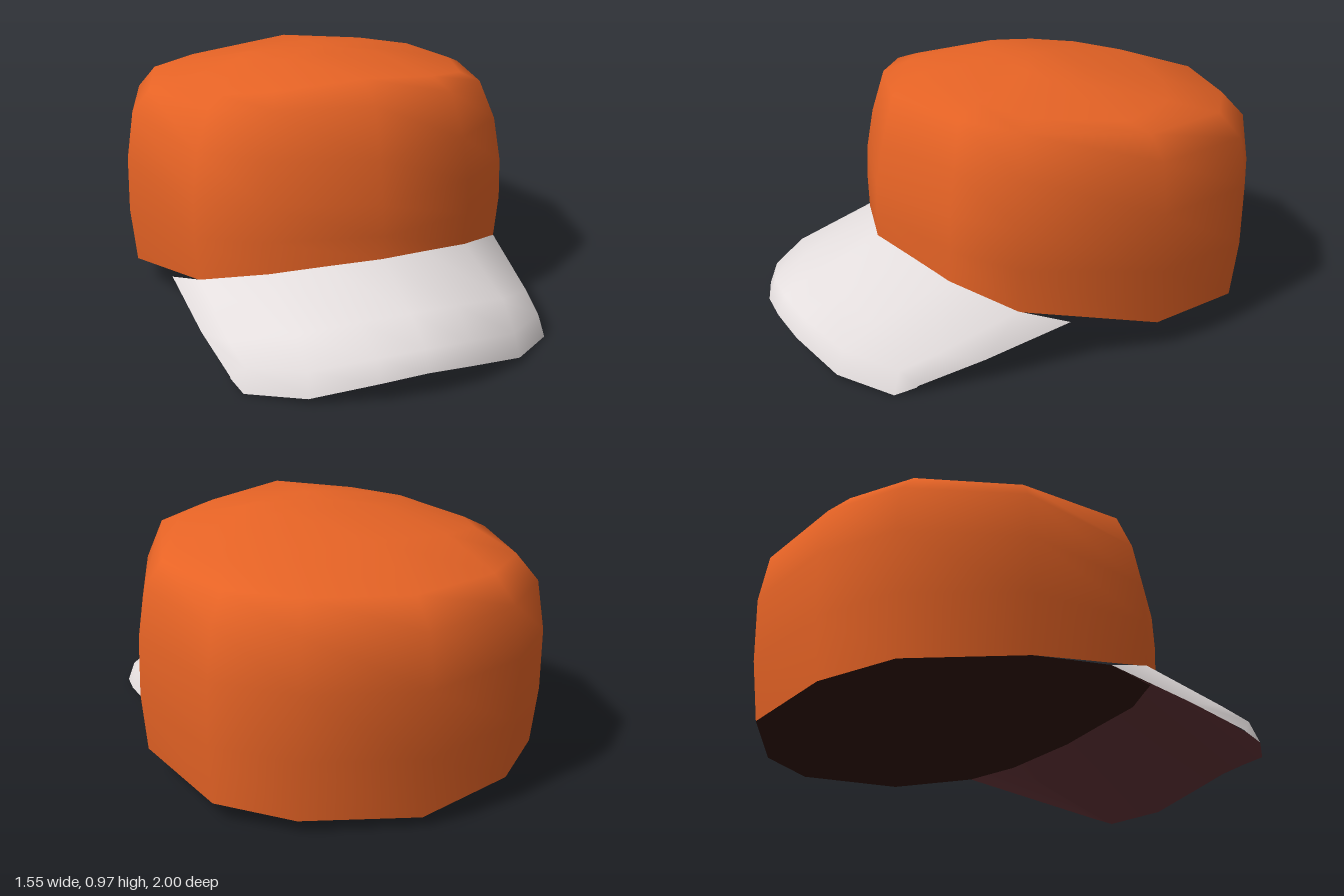
import * as THREE from 'three';
import { mergeVertices } from 'three/addons/utils/BufferGeometryUtils.js';

const material = (name, color) => {
  const m = new THREE.MeshStandardMaterial({ color });
  m.name = name;
  return m;
};

// Skin over rows of points; rows run left to right and stack upwards.
function loft(name, rows, mat, closed = false, flip = false) {
  const n = rows[0].length, index = [];
  for (let i = 0; i < rows.length - 1; i++) {
    for (let j = 0; j < (closed ? n : n - 1); j++) {
      const k = (j + 1) % n;
      const a = i * n + j, b = i * n + k, c = a + n, d = b + n;
      index.push(...(flip ? [a, c, b, b, c, d] : [a, b, c, b, d, c]));
    }
  }
  let geo = new THREE.BufferGeometry();
  geo.setAttribute('position', new THREE.Float32BufferAttribute(rows.flat(2), 3));
  geo.setIndex(index);
  geo = mergeVertices(geo);
  geo.computeVertexNormals();
  const mesh = new THREE.Mesh(geo, mat);
  mesh.name = name;
  return mesh;
}

// Unit outline of the crown: [x, z], front to back on the left side.
const half = [[0, 1], [0.52, 0.85], [0.81, 0.64], [1, 0], [0.855, -0.57], [0.545, -0.835], [0, -1]];
const outline = [...half, ...half.slice(1, -1).reverse().map(([x, z]) => [-x, z])];

// Crown levels: [frontZ, frontY, sideX, sideZ, sideY, backZ, backY]
const levels = [
  [0.585, 0.33, 0.755, -0.21, 0.11, -0.96, 0.04],
  [0.585, 0.42, 0.775, -0.21, 0.33, -0.99, 0.27],
  [0.58, 0.54, 0.77, -0.21, 0.55, -1.0, 0.52],
  [0.55, 0.70, 0.74, -0.21, 0.74, -0.97, 0.71],
  [0.50, 0.885, 0.67, -0.2, 0.825, -0.87, 0.81],
  [0.38, 0.955, 0.6, -0.15, 0.86, -0.56, 0.915],
  [0.05, 0.975, 0.34, -0.09, 0.945, -0.23, 0.965],
  [-0.09, 0.973, 0, -0.09, 0.973, -0.09, 0.973],
];

const crownRows = levels.map(([fz, fy, sx, sz, sy, bz, by], i) =>
  outline.map(([x, z]) => {
    const [endZ, endY] = z > 0 ? [fz, fy] : [bz, by];
    const u = Math.abs(z);
    // The top is ridged along the middle; the rim sweeps up to the front.
    const rise = i > 4 ? (1 - Math.abs(x)) ** 0.7 : i === 0 && z > 0 ? u ** 1.6 : u;
    return [x * sx, sy + (endY - sy) * rise, sz + (endZ - sz) * u];
  }));

// Mirror a half row (centre to left side) into a full row from right to left.
const mirrorRow = (row) => [...row.slice(1).reverse().map(([x, y, z]) => [-x, y, z]), ...row];

export function createModel() {
  const orange = material('orange cloth', 0xe66325);
  const pale = material('pale grey cloth', 0xe4dede);
  const maroon = material('maroon underside', 0x613236);
  const dark = material('dark brown base', 0x30140a);

  const cap = new THREE.Group();
  cap.name = 'cap';
  cap.add(loft('crown', crownRows, orange, true));

  // Visor rows from the front edge back to the crown
  const tip = mirrorRow([[0, 0.09, 1], [0.17, 0.075, 0.985], [0.4, 0.025, 0.915], [0.585, 0.003, 0.775], [0.61, 0.025, 0.7]]);
  const lip = mirrorRow([[0, 0.165, 0.97], [0.17, 0.155, 0.955], [0.39, 0.11, 0.885], [0.57, 0.085, 0.745], [0.61, 0.03, 0.695]]);
  const middle = mirrorRow([[0, 0.235, 0.84], [0.19, 0.225, 0.82], [0.4, 0.19, 0.77], [0.59, 0.12, 0.62], [0.65, 0.086, 0.45]]);
  const root = mirrorRow([[0, 0.332, 0.585], [0.196, 0.308, 0.525], [0.393, 0.282, 0.466], [0.612, 0.22, 0.299], [0.68, 0.163, 0.12]]);

  const visor = new THREE.Group();
  visor.name = 'visor';
  visor.add(loft('visorTop', [tip, lip, middle, root], pale));
  visor.add(loft('visorUnderside', [tip, root], maroon, false, true));
  cap.add(visor);

  // Base closing the crown: visor root in front, crown rim behind
  const edge = [...root, ...crownRows[0].slice(3, 10)];
  cap.add(loft('base', [edge, edge.map(() => [0, 0.14, -0.2])], dark, true, true));
  return cap;
}
